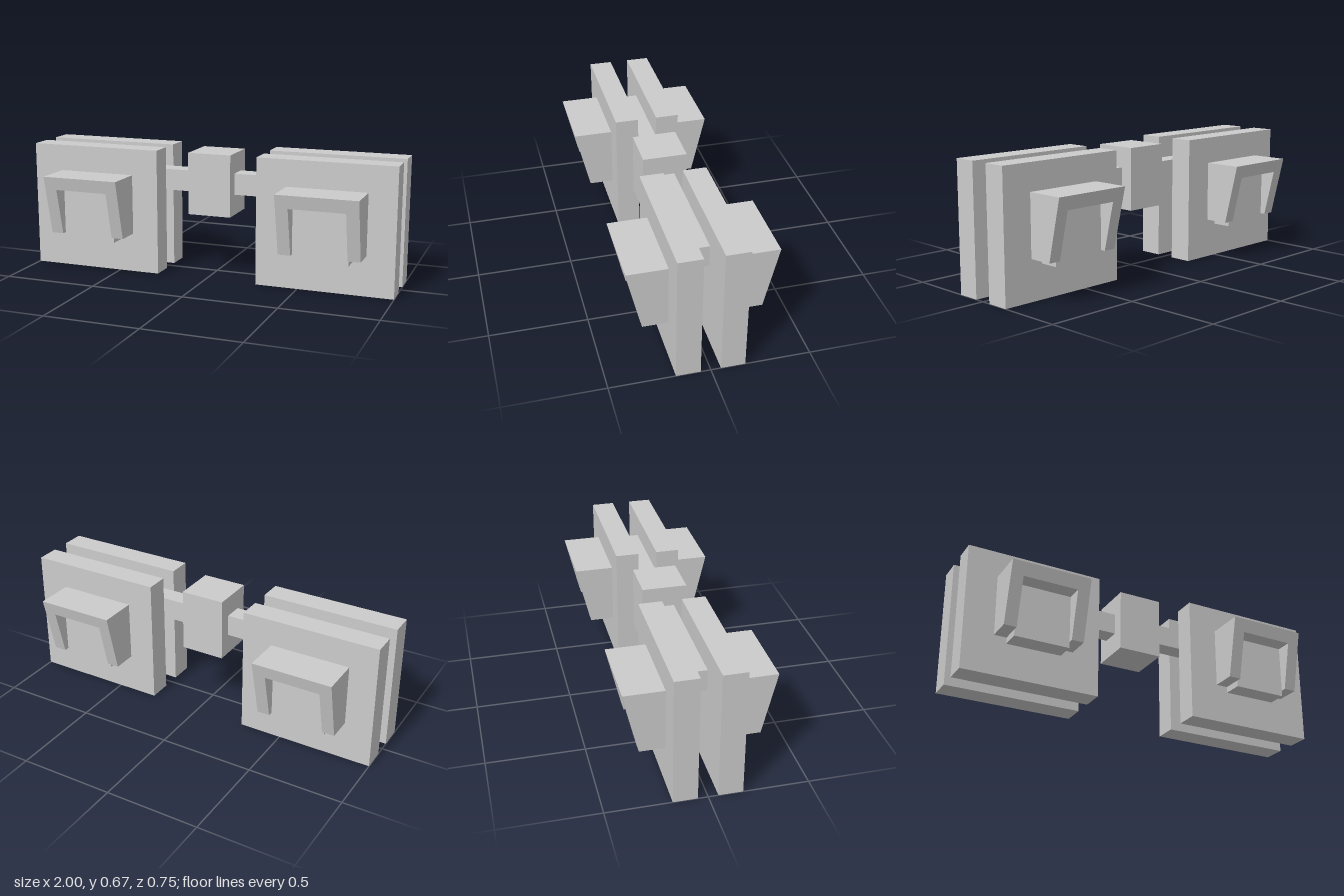
import * as THREE from 'three';

const material = new THREE.MeshStandardMaterial({ color: 0xcccccc, flatShading: true });

// Box given by its min and max on each axis
function box(name, [x0, x1], [y0, y1], [z0, z1]) {
  const mesh = new THREE.Mesh(new THREE.BoxGeometry(x1 - x0, y1 - y0, z1 - z0), material);
  mesh.name = name;
  mesh.position.set((x0 + x1) / 2, (y0 + y1) / 2, (z0 + z1) / 2);
  return mesh;
}

// Arch-shaped hood whose front face leans outward towards the top
function hoodGeometry() {
  const outer = 0.21, inner = 0.145, bottom = 0.21, lid = 0.46, top = 0.53;
  const arch = new THREE.Shape([
    [-outer, bottom], [-inner, bottom], [-inner, lid], [inner, lid],
    [inner, bottom], [outer, bottom], [outer, top], [-outer, top],
  ].map(([x, y]) => new THREE.Vector2(x, y)));
  const geometry = new THREE.ExtrudeGeometry(arch, { depth: 1, bevelEnabled: false });
  const p = geometry.attributes.position;
  for (let i = 0; i < p.count; i++) {
    const t = (p.getY(i) - bottom) / (top - bottom);
    p.setZ(i, p.getZ(i) > 0.5 ? 0.3 + 0.075 * t : 0.17);
  }
  geometry.computeVertexNormals();
  return geometry;
}

export function createModel() {
  const model = new THREE.Group();
  model.name = 'pairedPlates';

  // Central block and the beam joining both sides
  model.add(box('centreBlock', [-0.12, 0.115], [0.33, 0.66], [-0.115, 0.115]));
  model.add(box('crossBeam', [-0.765, 0.765], [0.44, 0.553], [-0.05, 0.05]));

  // The back half is the front half turned around the vertical axis
  const hoodShape = hoodGeometry();
  for (const face of ['front', 'back']) {
    const half = new THREE.Group();
    half.name = face + 'Half';
    half.rotation.y = face === 'back' ? Math.PI : 0;
    for (const side of [-1, 1]) {
      const label = side > 0 ? 'A' : 'B';
      const x = side * 0.638;
      half.add(box('plate' + label, [x - 0.362, x + 0.362], [0, 0.67], [0.05, 0.172]));

      // Hood with a recessed panel beneath it
      const cx = side > 0 ? 0.645 : -0.63;
      const hood = new THREE.Mesh(hoodShape, material);
      hood.name = 'hood' + label;
      hood.position.x = cx;
      half.add(hood);
      half.add(box('panel' + label, [cx - 0.145, cx + 0.145], [0.177, 0.46], [0.17, 0.273]));
    }
    model.add(half);
  }
  return model;
}
